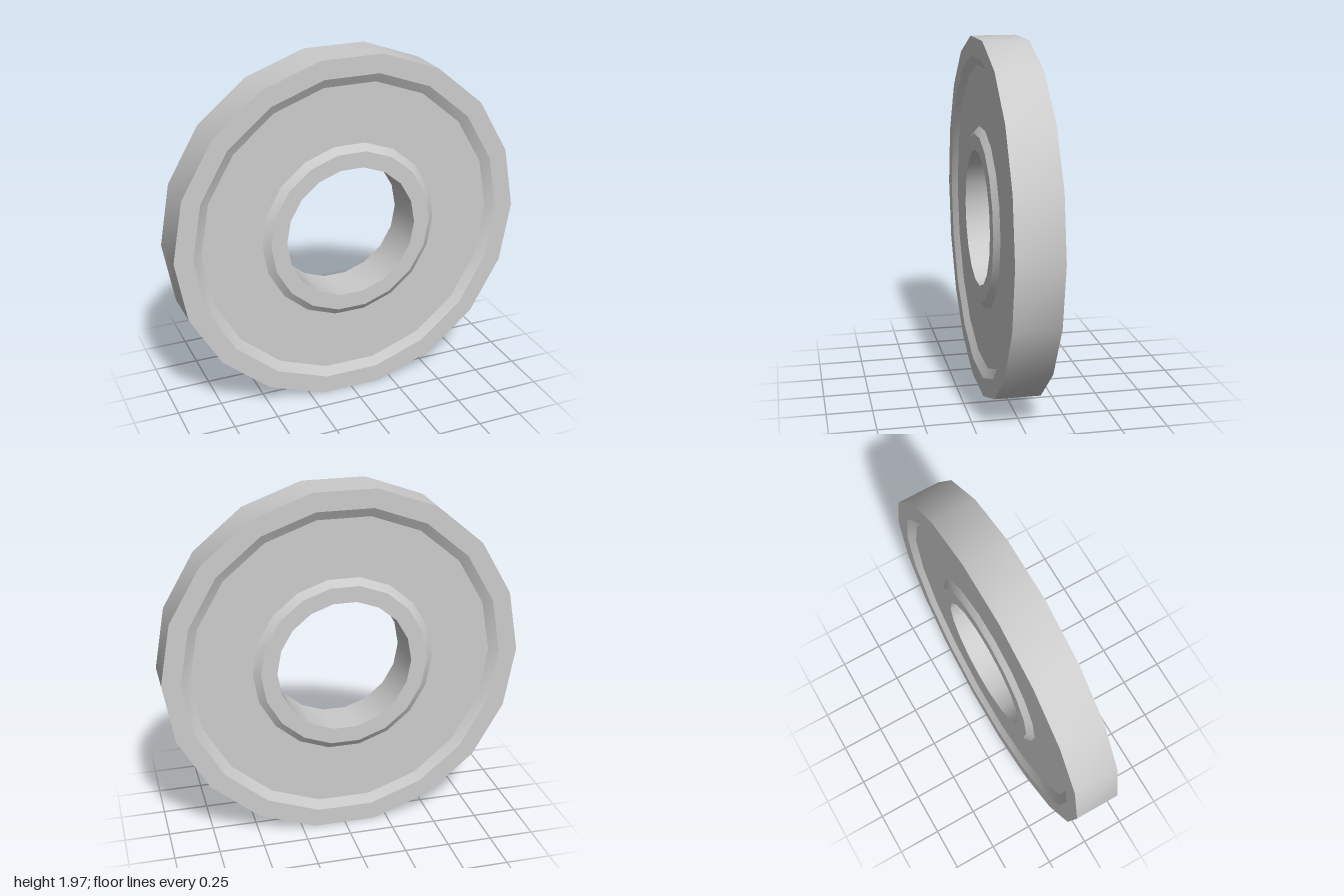
import * as THREE from 'three';
import { toCreasedNormals } from 'three/addons/utils/BufferGeometryUtils.js';

const SIDES = 18;
const HALF = 0.125; // half thickness of hub and rim
const WEB = 0.095; // half thickness of the recessed web

export function createModel() {
  const group = new THREE.Group();
  group.name = 'ringDisc';

  // One face from rim to bore: [radius, distance from the middle plane]
  const face = [
    [1.0, HALF], // outer edge
    [0.895, HALF], // rim
    [0.843, WEB], // slope into the recess
    [0.507, WEB], // web
    [0.467, HALF], // hub chamfer
    [0.377, HALF], // bore edge
  ];

  // Closed section: front face inward, back face outward, then the outer wall
  const front = face.map(([r, d]) => new THREE.Vector2(r, d));
  const back = face.map(([r, d]) => new THREE.Vector2(r, -d)).reverse();
  const section = [...front, ...back, front[0].clone()];

  // Corners lie on the horizontal axis, flats at top and bottom
  const lathe = new THREE.LatheGeometry(section, SIDES, Math.PI / 2);
  lathe.rotateX(Math.PI / 2);

  const disc = new THREE.Mesh(
    toCreasedNormals(lathe, THREE.MathUtils.degToRad(25)),
    new THREE.MeshStandardMaterial({ color: 0xcccccc })
  );
  disc.name = 'recessedDiscWithHub';
  disc.position.y = Math.cos(Math.PI / SIDES);
  group.add(disc);

  return group;
}
